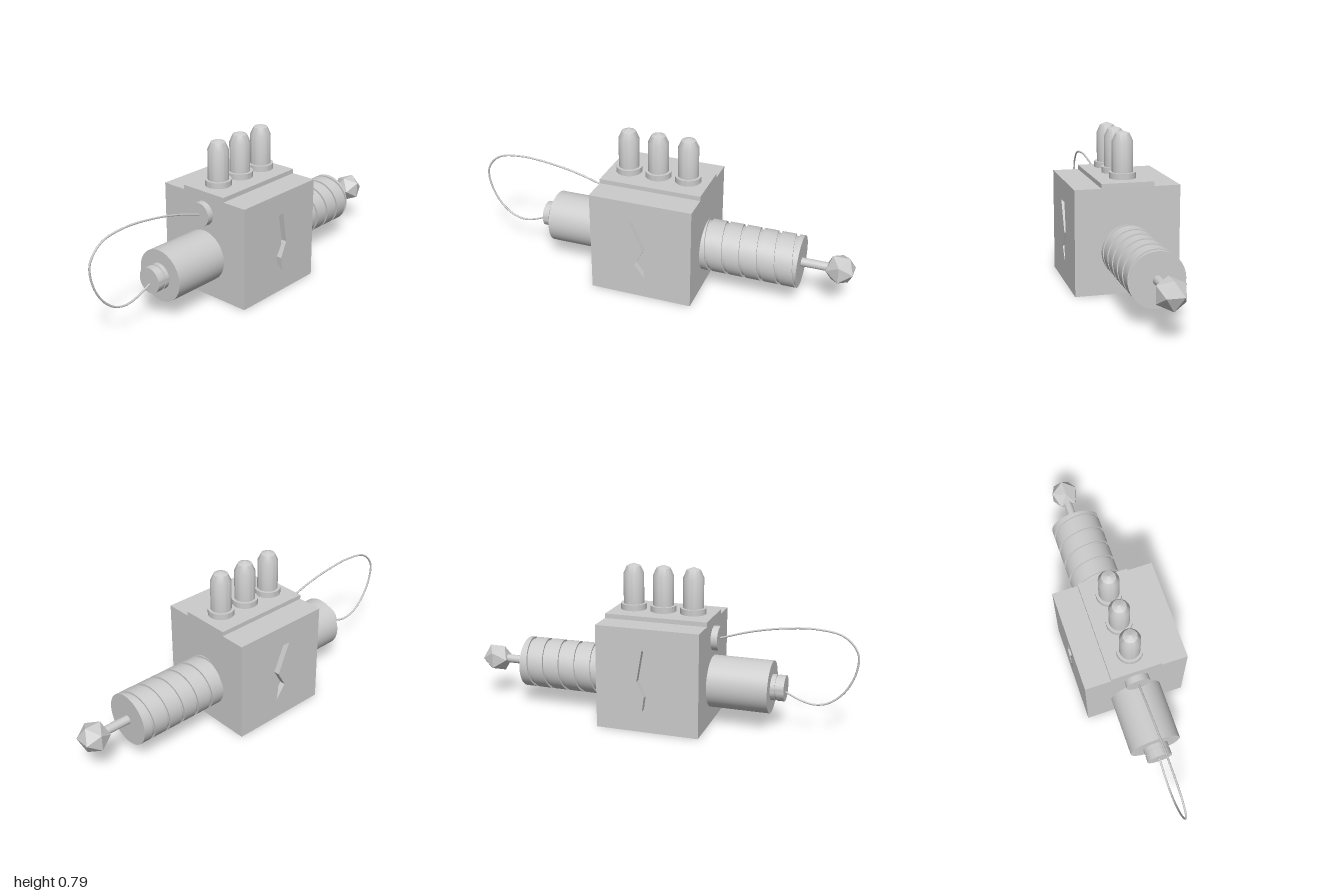
import * as THREE from 'three';
import { toCreasedNormals } from 'three/addons/utils/BufferGeometryUtils.js';

const mat = new THREE.MeshStandardMaterial({ color: 0xcccccc });
const V2 = (x, y) => new THREE.Vector2(x, y);

// Main dimensions
const X0 = -0.278, X1 = 0.25, MID = (X0 + X1) / 2, HALF_Z = 0.264, TOP = 0.53;
const AXIS_Y = 0.215, BARREL_R = 0.132, BARREL_END = 0.74, RECESS = 0.03;

export function createModel() {
  const root = new THREE.Group();

  const add = (name, geometry, x = 0, y = 0, z = 0, parent = root) => {
    const mesh = new THREE.Mesh(geometry, mat);
    mesh.name = name;
    mesh.position.set(x, y, z);
    parent.add(mesh);
  };
  const lathe = (pts, segs = 48) =>
    toCreasedNormals(new THREE.LatheGeometry(pts.map(p => V2(...p)), segs), 0.5);
  // Cylinder lying along x between two positions
  const bar = (name, r, xa, xb, y) =>
    add(name, new THREE.CylinderGeometry(r, r, xb - xa, 48).rotateZ(-Math.PI / 2), (xa + xb) / 2, y);

  // Housing: core block with a cut-out plate on the front and back
  const housing = new THREE.Group();
  housing.name = 'housing';
  root.add(housing);
  const w = X1 - X0;
  add('core', new THREE.BoxGeometry(w, TOP, 2 * (HALF_Z - RECESS)), MID, TOP / 2, 0, housing);
  const plate = new THREE.Shape([V2(X0, 0), V2(X1, 0), V2(X1, TOP), V2(X0, TOP)]);
  plate.holes.push(new THREE.Path([
    V2(-0.07, 0.42), V2(0, 0.26), V2(-0.045, 0.18), V2(0.01, 0.107),
    V2(0, 0.18), V2(0.038, 0.26), V2(0.01, 0.42),
  ]));
  const plateGeo = new THREE.ExtrudeGeometry(plate, { depth: RECESS, bevelEnabled: false });
  add('frontPlate', plateGeo, 0, 0, HALF_Z - RECESS, housing);
  add('backPlate', plateGeo, 0, 0, -HALF_Z, housing);
  add('topRail', new THREE.BoxGeometry(w, 0.023, 0.262), MID, TOP + 0.0115, 0, housing);

  // Three vacuum tubes on the rail
  const tubeGeo = lathe([
    [0, 0], [0.042, 0], [0.042, 0.005], [0.066, 0.005], [0.066, 0.035], [0.052, 0.035],
    [0.052, 0.187], [0.035, 0.225], [0, 0.239],
  ]);
  for (const x of [-0.171, -0.014, 0.143]) add('vacuumTube', tubeGeo, x, 0.553);

  // Rear barrel with its grooved end cap
  bar('rearBarrel', BARREL_R, -0.582, X0, AXIS_Y);
  const cap = lathe([
    [0, 0], [0.065, 0], [0.065, 0.024], [0.061, 0.024], [0.061, 0.034], [0.065, 0.034],
    [0.065, 0.069], [0, 0.069],
  ]).rotateZ(Math.PI / 2);
  add('rearCap', cap, -0.581, AXIS_Y);

  // Front barrel with a spiral groove, closed by an end disc
  add('spiralBarrel', spiralBarrel(X1, BARREL_END, 0.089, 0.018, 0.01), 0, AXIS_Y);
  add('barrelEnd', new THREE.CircleGeometry(BARREL_R, 64).rotateY(Math.PI / 2), BARREL_END, AXIS_Y);

  // Emitter rod and crystal tip
  bar('emitterRod', 0.022, 0.73, 0.89, AXIS_Y);
  add('crystalTip', new THREE.IcosahedronGeometry(0.079), 0.933, AXIS_Y);

  // Socket and looping cable
  bar('cableSocket', 0.062, -0.311, X0, 0.44);
  const path = [
    [-0.305, 0.44], [-0.47, 0.49], [-0.63, 0.52], [-0.79, 0.53], [-0.92, 0.505], [-0.988, 0.43],
    [-0.988, 0.34], [-0.942, 0.235], [-0.87, 0.167], [-0.8, 0.147], [-0.73, 0.16], [-0.64, 0.2],
  ].map(([x, y]) => new THREE.Vector3(x, y, 0));
  add('cable', new THREE.TubeGeometry(new THREE.CatmullRomCurve3(path), 96, 0.005, 8));

  return root;
}

// Sweeps one pitch of a groove-and-land profile round the x axis, clipped to [xa, xb]
function spiralBarrel(xa, xb, pitch, groove, depth) {
  const r = BARREL_R, inner = r - depth;
  const profile = [[0, r], [0, inner], [groove, inner], [groove, r], [pitch, r]];
  const steps = 64, turns = Math.ceil((xb - xa) / pitch) + 2, n = profile.length;
  const pos = [], index = [];
  for (let i = 0; i <= steps * turns; i++) {
    const turn = i / steps;
    // The angle runs from the front downwards; the groove leaves the end at the front
    const a = Math.PI / 2 + turn * Math.PI * 2;
    const start = xb - groove + (turn - turns + 1) * pitch;
    for (const [dx, rad] of profile) {
      const x = Math.min(xb, Math.max(xa, start + dx));
      pos.push(x, rad * Math.cos(a), rad * Math.sin(a));
    }
    if (i === 0) continue;
    for (let k = 0; k < n - 1; k++) {
      const p = (i - 1) * n + k, q = i * n + k;
      index.push(p, q + 1, p + 1, p, q, q + 1);
    }
  }
  const g = new THREE.BufferGeometry();
  g.setAttribute('position', new THREE.Float32BufferAttribute(pos, 3));
  g.setIndex(index);
  return toCreasedNormals(g, 0.5);
}
